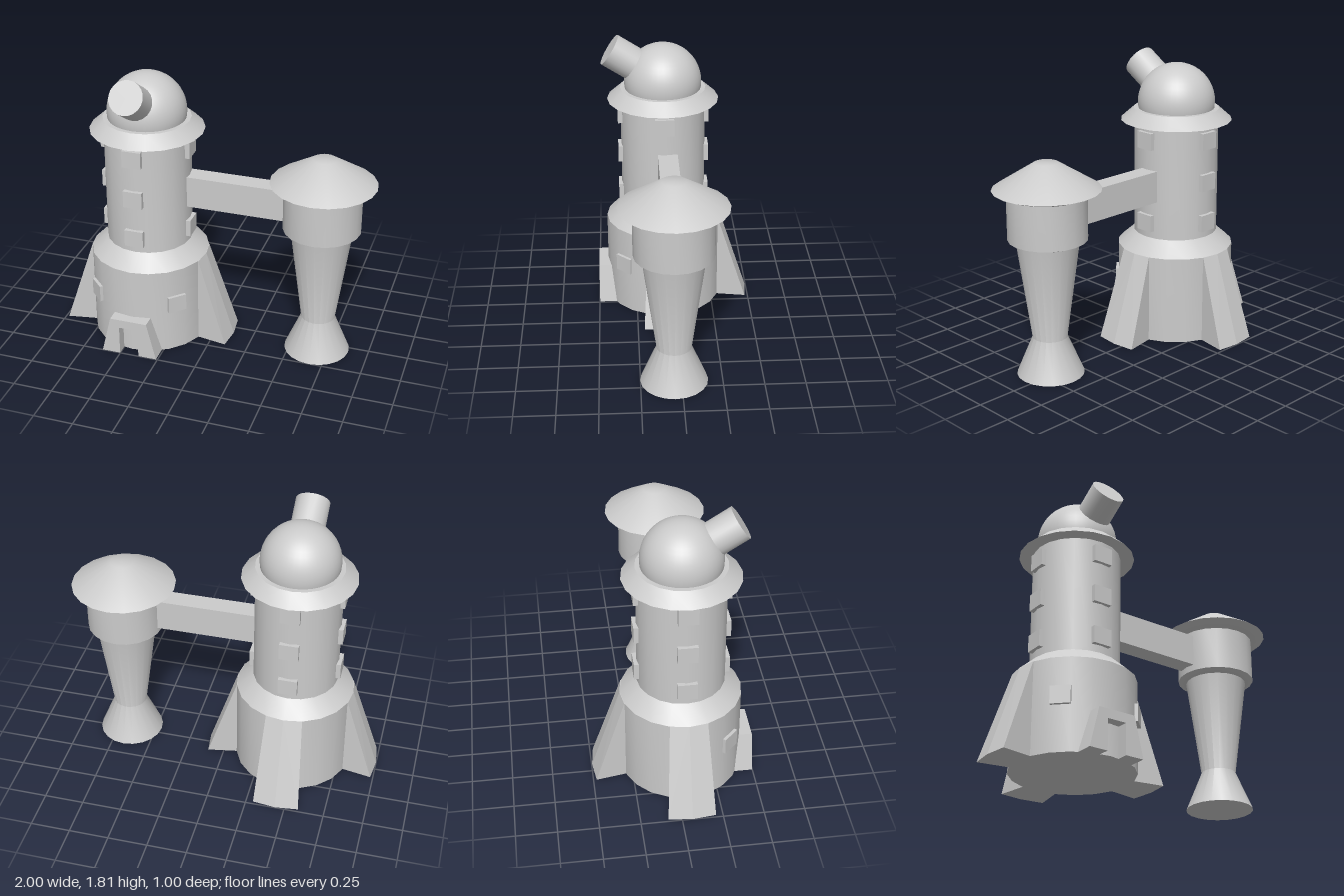
import * as THREE from 'three';
import { toCreasedNormals } from 'three/addons/utils/BufferGeometryUtils.js';
import { ConvexGeometry } from 'three/addons/geometries/ConvexGeometry.js';

const SIDES = 20;
const material = new THREE.MeshStandardMaterial({ color: 0xcccccc });

function add(parent, name, geometry, x = 0, y = 0, z = 0) {
  const mesh = new THREE.Mesh(geometry, material);
  mesh.name = name;
  mesh.position.set(x, y, z);
  parent.add(mesh);
  return mesh;
}

// Round part from [radius, height] pairs, bottom to top
function turned(profile) {
  const points = profile.map(([r, y]) => new THREE.Vector2(r, y));
  return toCreasedNormals(new THREE.LatheGeometry(points, SIDES), 0.6);
}

// Box set against a round wall, facing outward at the given angle from the front
function addWindow(parent, name, angle, radius, y) {
  const box = new THREE.BoxGeometry(0.12, 0.108, 0.03);
  const mesh = add(parent, name, box, Math.sin(angle) * radius, y, Math.cos(angle) * radius);
  mesh.rotation.y = angle;
}

// Sloping buttress pointing along +z, with a bowed outer face
function buttressGeometry() {
  const points = [new THREE.Vector3(0, 0, 0.56), new THREE.Vector3(0, 0.57, 0.375)];
  for (const s of [-1, 1]) {
    points.push(
      new THREE.Vector3(s * 0.145, 0, 0.543),
      new THREE.Vector3(s * 0.108, 0, 0.33),
      new THREE.Vector3(s * 0.114, 0.57, 0.358),
      new THREE.Vector3(s * 0.108, 0.57, 0.33)
    );
  }
  return new ConvexGeometry(points);
}

function createMainTower() {
  const tower = new THREE.Group();
  tower.name = 'mainTower';
  tower.position.set(-0.44, 0, 0.063);

  // Walls: wide base, sloping shoulder, shaft
  add(tower, 'towerWall', turned([
    [0, 0], [0.373, 0], [0.373, 0.57], [0.27, 0.662], [0.27, 1.43], [0, 1.43]
  ]));
  add(tower, 'eaves', turned([[0, 1.398], [0.355, 1.398], [0.272, 1.472], [0, 1.472]]));

  // Observatory dome and its telescope
  add(tower, 'dome', new THREE.SphereGeometry(0.245, 40, 24), 0, 1.511, 0);
  const tilt = THREE.MathUtils.degToRad(32.5);
  const reach = 0.26;
  const tube = toCreasedNormals(new THREE.CylinderGeometry(0.106, 0.106, 0.27, SIDES), 0.6);
  const telescope = add(tower, 'telescope', tube,
    0, 1.511 + reach * Math.sin(tilt), reach * Math.cos(tilt));
  telescope.rotation.x = Math.PI / 2 - tilt;

  // Buttresses on the left, back and right
  for (const turn of [1, 2, 3]) {
    add(tower, 'buttress', buttressGeometry()).rotation.y = turn * Math.PI / 2;
  }

  // Shaft windows, leaving a gap where the bridge joins
  for (let i = 0; i < 4; i++) {
    for (const y of [0.763, 1.032, 1.302]) {
      if (i === 1 && y > 1 && y < 1.1) continue;
      addWindow(tower, 'shaftWindow', i * Math.PI / 2, 0.275, y);
    }
  }
  for (const s of [-1, 1]) addWindow(tower, 'baseWindow', s * Math.PI / 4, 0.373, 0.335);

  // Porch with an open doorway
  const outline = new THREE.Shape([
    [-0.18, 0], [-0.062, 0], [-0.062, 0.19], [0.062, 0.19],
    [0.062, 0], [0.18, 0], [0.12, 0.247], [-0.12, 0.247]
  ].map(([x, y]) => new THREE.Vector2(x, y)));
  add(tower, 'porch',
    new THREE.ExtrudeGeometry(outline, { depth: 0.135, bevelEnabled: false }), 0, 0, 0.3);
  return tower;
}

function createSideTower() {
  const tower = new THREE.Group();
  tower.name = 'sideTower';
  tower.position.set(0.67, 0, 0.045);
  add(tower, 'stem', turned([[0, 0], [0.207, 0], [0.107, 0.24], [0.195, 0.88], [0, 0.88]]));
  add(tower, 'drum', turned([[0, 0.85], [0.195, 0.85], [0.24, 0.868], [0.24, 1.16], [0, 1.16]]));
  add(tower, 'roof', turned([
    [0, 1.14], [0.235, 1.14], [0.326, 1.175], [0.073, 1.335], [0, 1.335]
  ]));
  return tower;
}

export function createModel() {
  const model = new THREE.Group();
  model.name = 'observatory';
  model.add(createMainTower(), createSideTower());

  // Enclosed bridge between the towers
  add(model, 'bridge', new THREE.BoxGeometry(0.72, 0.203, 0.125), 0.13, 1.01, 0.043);
  return model;
}
